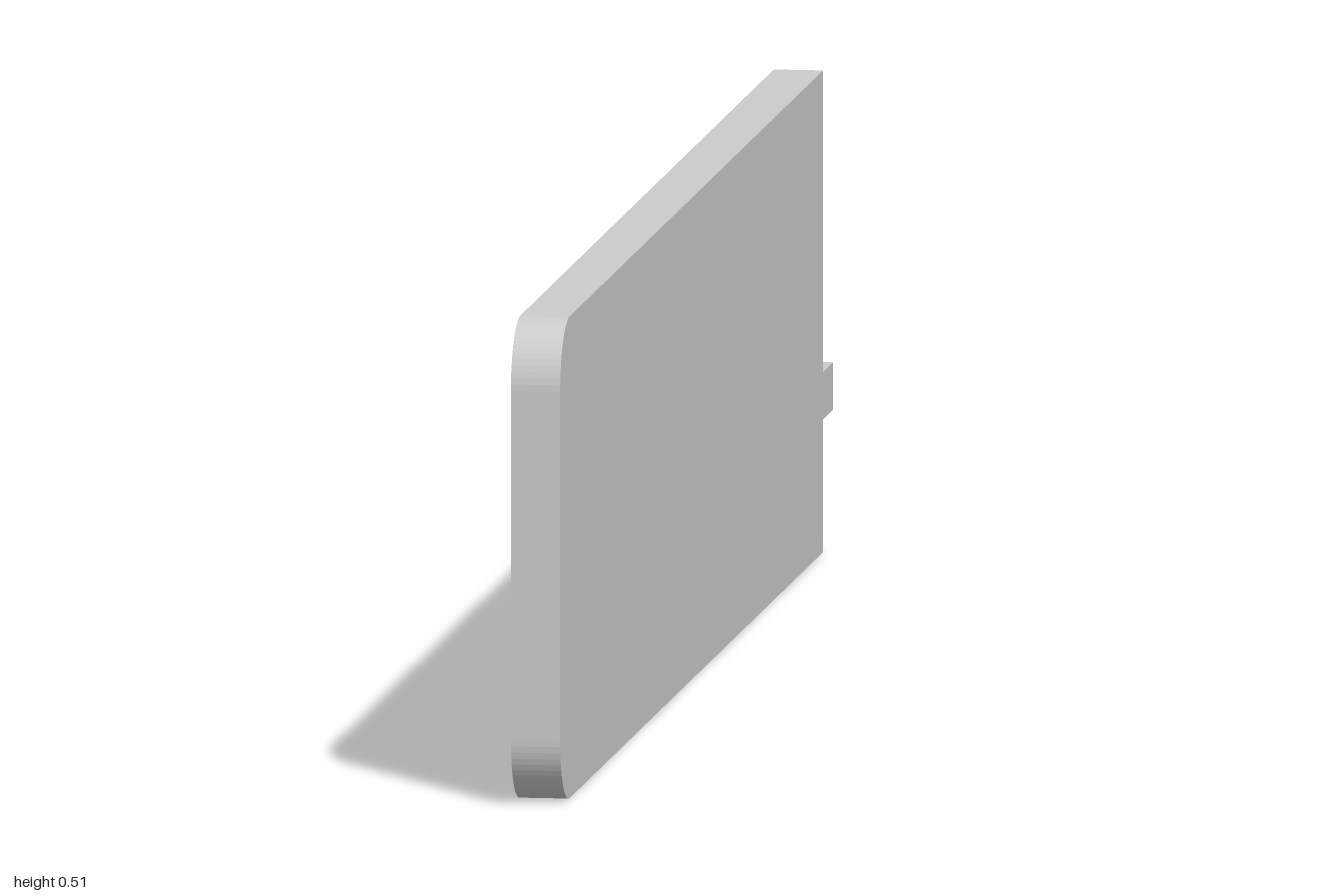
import * as THREE from 'three';

const HALF_T = 0.026, HEIGHT = 0.508, FRONT = 1, BACK = -0.927, RADIUS = 0.07;

export function createModel() {
  const group = new THREE.Group();
  group.name = 'board';
  const material = new THREE.MeshStandardMaterial({ color: 0xcccccc, flatShading: true });

  // Flat panel: side profile (z, y) with the two front corners rounded
  const profile = new THREE.Shape();
  profile.moveTo(BACK, 0);
  profile.lineTo(FRONT - RADIUS, 0);
  profile.absarc(FRONT - RADIUS, RADIUS, RADIUS, -Math.PI / 2, 0, false);
  profile.lineTo(FRONT, HEIGHT - RADIUS);
  profile.absarc(FRONT - RADIUS, HEIGHT - RADIUS, RADIUS, 0, Math.PI / 2, false);
  profile.lineTo(BACK, HEIGHT);
  profile.closePath();
  const panelGeometry = new THREE.ExtrudeGeometry(profile, {
    depth: HALF_T * 2, bevelEnabled: false, curveSegments: 8,
  });
  panelGeometry.rotateY(-Math.PI / 2).translate(HALF_T, 0, 0);
  const panel = new THREE.Mesh(panelGeometry, material);
  panel.name = 'panel';
  group.add(panel);

  // Small square tab on the back edge
  const tabLength = BACK + 1;
  const tab = new THREE.Mesh(new THREE.BoxGeometry(HALF_T * 2, 0.05, tabLength), material);
  tab.name = 'tab';
  tab.position.set(0, 0.165, BACK - tabLength / 2);
  group.add(tab);

  return group;
}
